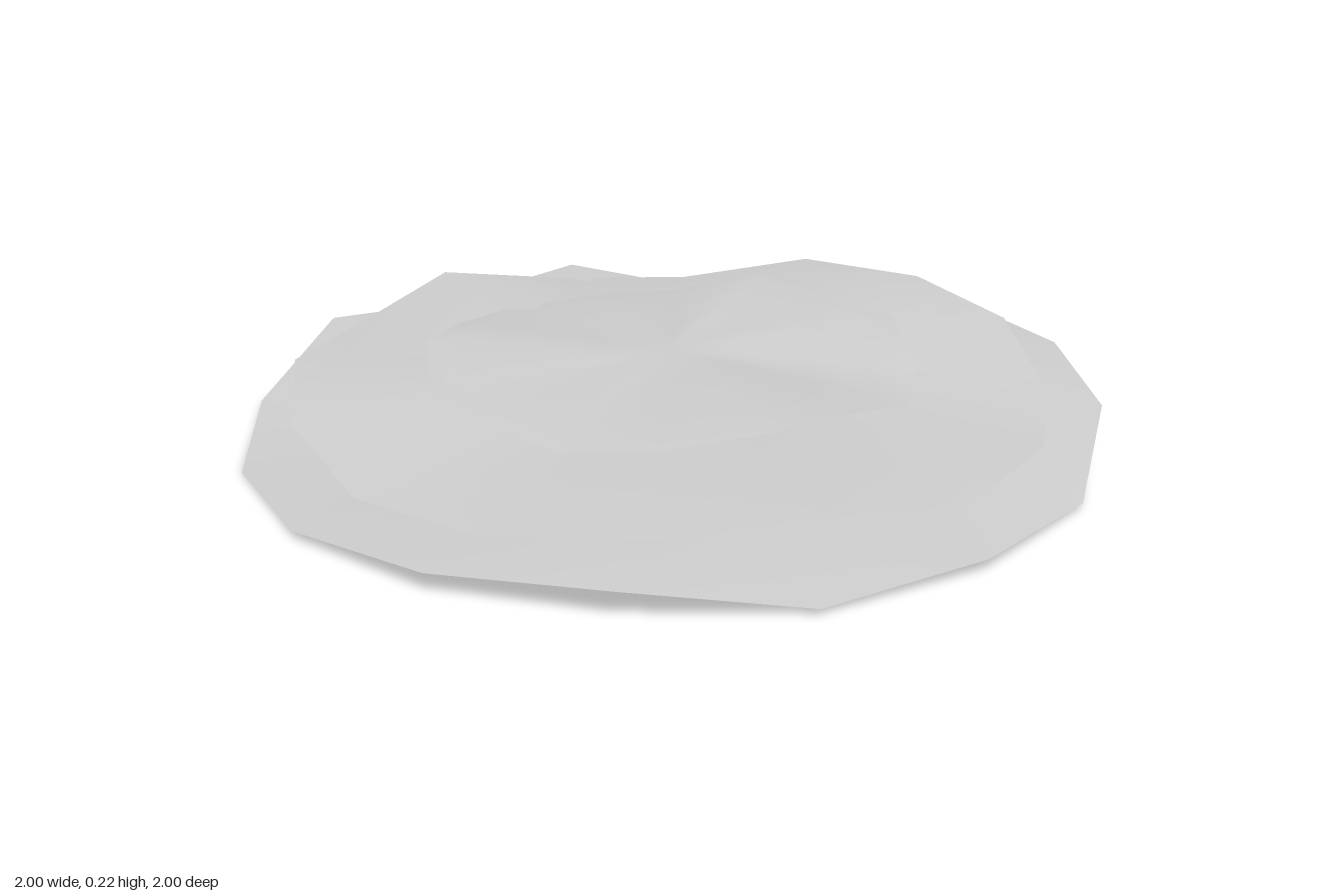
import * as THREE from 'three';

const SIDES = 16;

// A thin, warped, slightly domed disc: rim heights fade towards the centre.
function wavyDisc(name, radius, turn, centreY, rim) {
  const mean = rim.reduce((a, b) => a + b, 0) / SIDES;
  const rings = [0.3, 0.6, 0.86, 1];
  const pos = [0, centreY, 0];
  const index = [];
  rings.forEach((f, r) => {
    const drop = (centreY - mean) * Math.pow(f, 6);
    for (let k = 0; k < SIDES; k++) {
      const t = (k / SIDES) * Math.PI * 2 + turn;
      const y = centreY + f * (rim[k] - mean) - drop;
      pos.push(Math.cos(t) * radius * f, y, Math.sin(t) * radius * f);
      const n = (k + 1) % SIDES;
      const outer = 1 + r * SIDES;
      const inner = outer - SIDES;
      if (r === 0) index.push(0, outer + n, outer + k);
      else index.push(inner + k, outer + n, outer + k, inner + k, inner + n, outer + n);
    }
  });
  const geometry = new THREE.BufferGeometry();
  geometry.setAttribute('position', new THREE.Float32BufferAttribute(pos, 3));
  geometry.setIndex(index);
  geometry.computeVertexNormals();
  const mesh = new THREE.Mesh(
    geometry,
    new THREE.MeshStandardMaterial({ color: 0xcccccc, side: THREE.DoubleSide })
  );
  mesh.name = name;
  return mesh;
}

export function createModel() {
  const group = new THREE.Group();
  group.name = 'stackedDiscs';
  const turn = THREE.MathUtils.degToRad(-3.9);

  // Rim heights run from +x towards +z.
  group.add(
    wavyDisc('bottomDisc', 1, 0, 0.07,
      [0.03, 0.015, 0.07, 0.05, 0.02, 0, 0.022, 0.108, 0.05, 0.105, 0.02, 0.02, 0.105, 0.11, 0.093, 0.015]),
    wavyDisc('middleDisc', 0.89, turn, 0.14,
      [0.09, 0.148, 0.125, 0.095, 0.085, 0.13, 0.155, 0.12, 0.178, 0.105, 0.09, 0.168, 0.182, 0.165, 0.085, 0.1]),
    wavyDisc('topDisc', 0.575, turn, 0.188,
      [0.2, 0.2, 0.175, 0.152, 0.17, 0.165, 0.206, 0.175, 0.16, 0.15, 0.155, 0.222, 0.185, 0.207, 0.15, 0.145])
  );
  return group;
}
